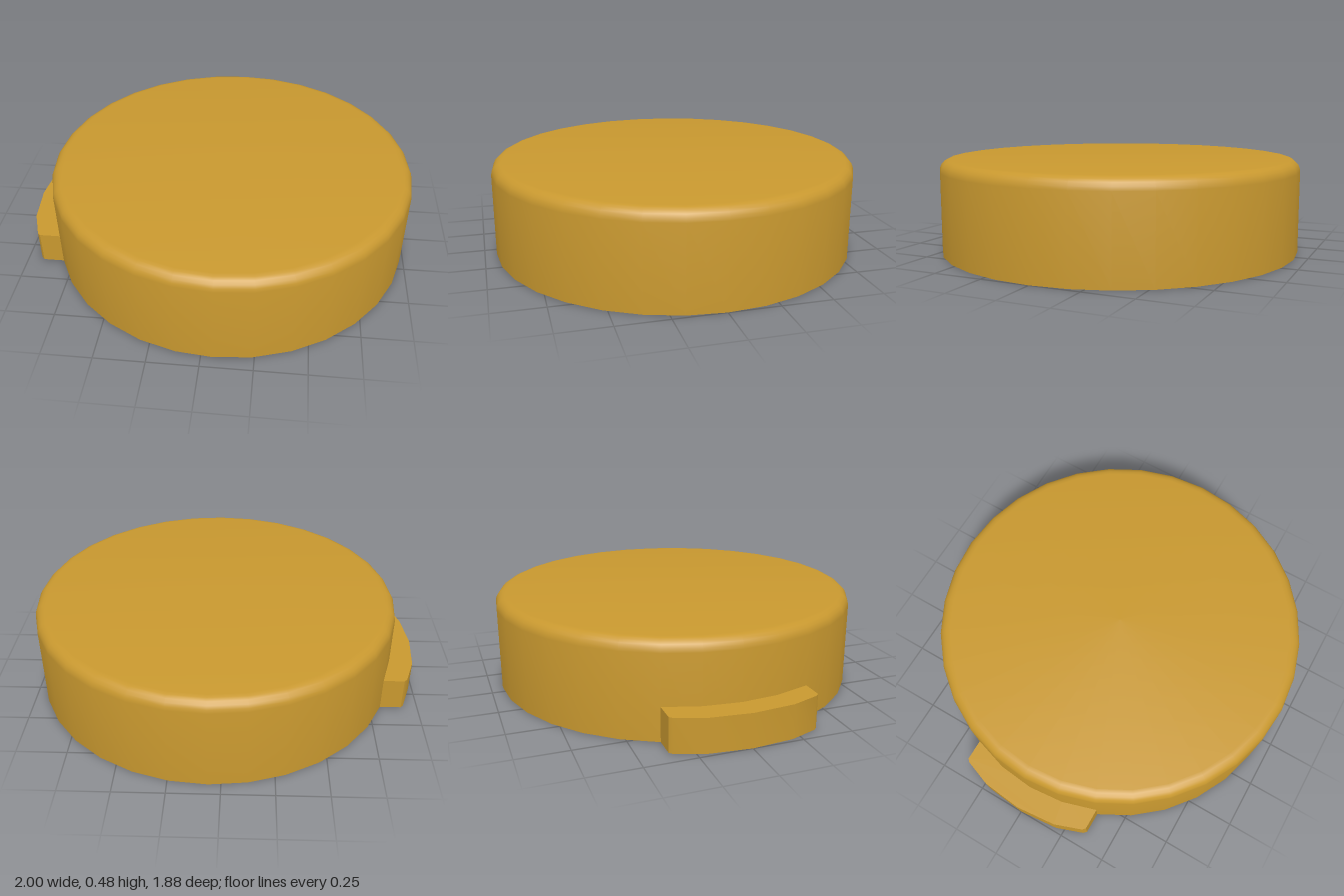
import * as THREE from 'three';
import { toCreasedNormals } from 'three/addons/utils/BufferGeometryUtils.js';

const CENTER_X = 0.06, RADIUS = 0.94, INNER = 0.84, HEIGHT = 0.48, CEILING = 0.38;
const FILLET = 0.06, STEP = Math.PI / 16;

export function createModel() {
  const group = new THREE.Group();
  group.name = 'lid';
  const ochre = new THREE.MeshStandardMaterial({ color: 0xc8982f });
  ochre.name = 'ochre';

  const addPart = (name, geometry) => {
    const mesh = new THREE.Mesh(toCreasedNormals(geometry, 0.6), ochre);
    mesh.name = name;
    mesh.position.x = CENTER_X;
    group.add(mesh);
  };

  // Hollow cap: ceiling, inner wall, rim, outer wall, rounded shoulder, top
  const profile = [[0, CEILING], [INNER, CEILING], [INNER, 0], [RADIUS, 0]]
    .map(([r, y]) => new THREE.Vector2(r, y));
  for (let i = 0; i <= 5; i++) {
    const a = (i / 5) * Math.PI / 2;
    profile.push(new THREE.Vector2(
      RADIUS - FILLET + FILLET * Math.cos(a),
      HEIGHT - FILLET + FILLET * Math.sin(a)));
  }
  profile.push(new THREE.Vector2(0, HEIGHT));
  addPart('cap', new THREE.LatheGeometry(profile, 32));

  // Curved thumb tab at the foot of the wall, its inner edge buried in the wall
  const outline = [[-0.975, 0.36], [-0.99, 0.345]];
  for (const k of [1, 0, -1]) {
    outline.push([-1.06 * Math.cos(k * STEP), 1.06 * Math.sin(k * STEP)]);
  }
  outline.push([-0.99, -0.345], [-0.975, -0.36], [-0.825, -0.36]);
  for (const k of [-1, 0, 1]) {
    outline.push([-0.9 * Math.cos(k * STEP), 0.9 * Math.sin(k * STEP)]);
  }
  outline.push([-0.825, 0.36]);
  const shape = new THREE.Shape(outline.map(([x, y]) => new THREE.Vector2(x, y)));
  const tab = new THREE.ExtrudeGeometry(shape, { depth: 0.17, bevelEnabled: false });
  tab.rotateX(-Math.PI / 2);
  addPart('thumbTab', tab);

  return group;
}
